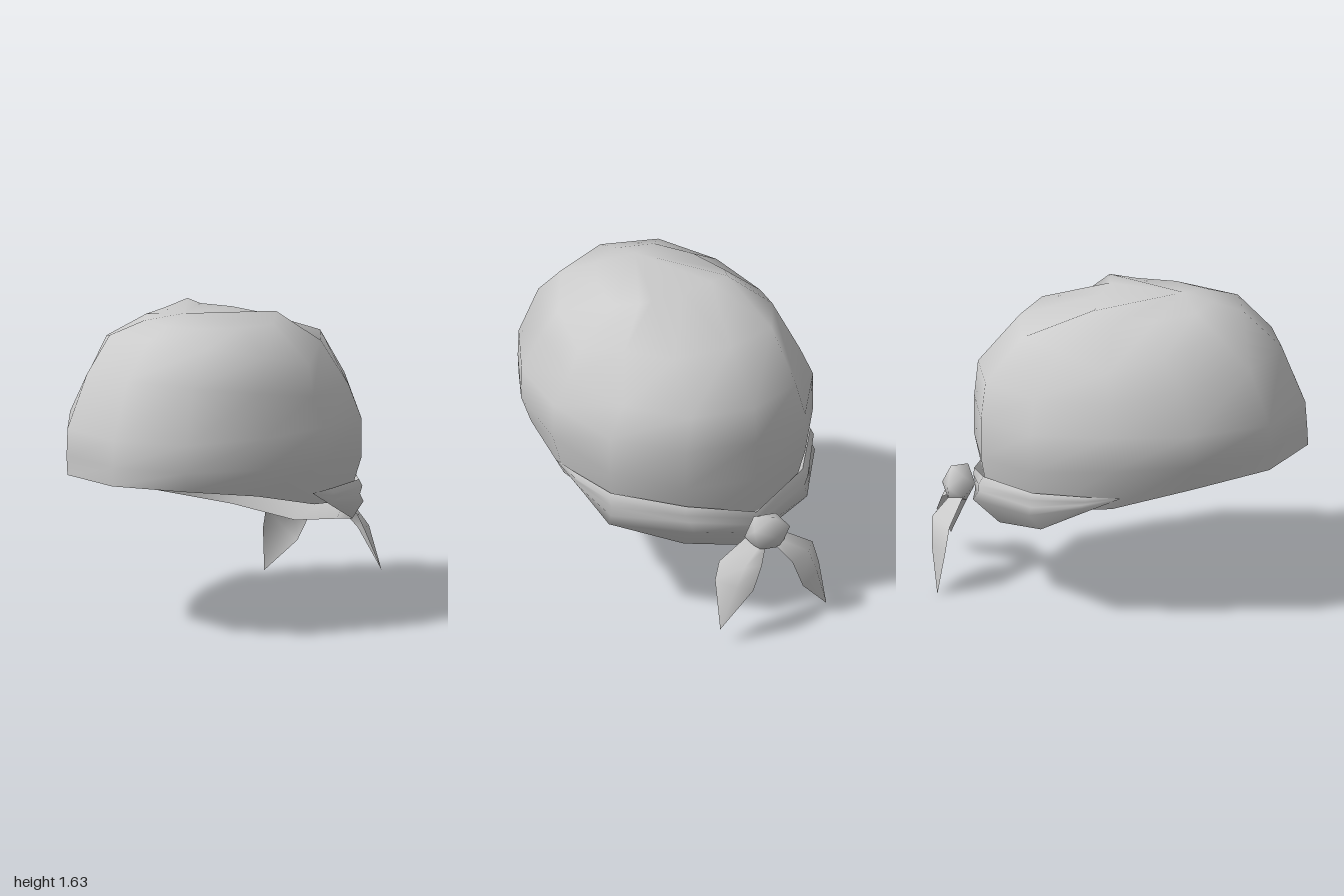
import * as THREE from 'three';
import { mergeVertices } from 'three/addons/utils/BufferGeometryUtils.js';

const cloth = new THREE.MeshStandardMaterial({ color: 0xcccccc, side: THREE.DoubleSide });

// Skin a grid of points: rows run bottom to top, columns left to right.
function loft(name, rows) {
  const n = rows[0].length, index = [];
  for (let i = 0; i < rows.length - 1; i++) {
    for (let j = 0; j < n - 1; j++) {
      const a = i * n + j, b = a + 1, c = b + n, d = a + n;
      index.push(a, b, c, a, c, d);
    }
  }
  let geo = new THREE.BufferGeometry();
  geo.setAttribute('position', new THREE.Float32BufferAttribute(rows.flat(2), 3));
  geo.setIndex(index);
  geo = mergeVertices(geo, 1e-4);
  geo.computeVertexNormals();
  const mesh = new THREE.Mesh(geo, cloth);
  mesh.name = name;
  return mesh;
}

// Egg-shaped plan of the head, as fractions of half width and half length
const half = [[0, 1], [0.535, 0.863], [0.87, 0.46], [1, 0], [0.91, -0.51], [0.535, -0.88], [0, -1]];

const mirror = (points) => [...points, ...points.slice(0, -1).reverse().map(([x, y, z]) => [-x, y, z])];

// One level of the cap from its side, front and back points;
// moved replaces single points, numbered from the front, for soft dents and bulges.
function ring({ side: [sx, sy, sz], front: [fz, fy], back: [bz, by], moved = {} }) {
  const points = half.map(([px, pz], i) => {
    const t = Math.abs(pz);
    return moved[i] ?? [
      px * sx,
      THREE.MathUtils.lerp(sy, pz > 0 ? fy : by, t),
      THREE.MathUtils.lerp(sz, pz > 0 ? fz : bz, t),
    ];
  });
  return mirror(points);
}

export function createModel() {
  const model = new THREE.Group();
  model.name = 'bandana';

  // Cap
  const levels = [
    {
      side: [0.64, 0.65, 0.07], front: [1.0, 0.832], back: [-0.72, 0.56],
      moved: { 1: [0.38, 0.822, 0.86], 2: [0.565, 0.755, 0.48], 4: [0.6, 0.6, -0.3], 5: [0.31, 0.54, -0.64] },
    },
    { side: [0.71, 0.88, 0.07], front: [0.995, 0.93], back: [-0.77, 0.78] },
    { side: [0.71, 1.07, 0.07], front: [0.985, 1.07], back: [-0.77, 1.0] },
    { side: [0.62, 1.22, 0.05], front: [0.86, 1.37], back: [-0.75, 1.19] },
    { side: [0.58, 1.38, 0.03], front: [0.66, 1.55], back: [-0.53, 1.46], moved: { 4: [0.47, 1.45, -0.24] } },
    { side: [0.35, 1.57, 0.03], front: [0.5, 1.6], back: [-0.1, 1.6], moved: { 4: [0.28, 1.61, -0.1] } },
  ].map(ring);
  const apex = levels[0].map(() => [0, 1.64, 0.34]);
  model.add(loft('cap', [...levels, apex]));

  // Sloping underside that closes the cap
  const centre = levels[0].map(() => [0, 0.67, 0.07]);
  model.add(loft('underside', [centre, levels[0]]));

  // Folded band, thin at the sides, deep at the back, gathered at the knot
  const tip = [0.665, 0.72, 0.12];
  const [bottom, lowerFold, groove, upperFold, top, inner] = [
    [[0.64, 0.61, -0.1], [0.62, 0.505, -0.31], [0.33, 0.42, -0.58], [0, 0.355, -0.68]],
    [[0.665, 0.65, -0.09], [0.65, 0.59, -0.37], [0.36, 0.55, -0.715], [0, 0.47, -0.765]],
    [[0.66, 0.67, -0.08], [0.635, 0.63, -0.36], [0.365, 0.6, -0.685], [0, 0.51, -0.765]],
    [[0.67, 0.69, -0.07], [0.65, 0.675, -0.36], [0.39, 0.645, -0.68], [0, 0.55, -0.775]],
    [[0.66, 0.715, -0.05], [0.635, 0.71, -0.35], [0.37, 0.685, -0.66], [0, 0.59, -0.77]],
    [[0.62, 0.63, -0.1], [0.59, 0.59, -0.3], [0.31, 0.54, -0.63], [0, 0.555, -0.71]],
  ].map((points) => mirror([tip, ...points]));
  const band = new THREE.Group();
  band.name = 'band';
  band.add(
    loft('bandOuter', [bottom, lowerFold, groove, upperFold, top]),
    loft('bandInner', [top, inner, bottom]),
  );
  model.add(band);

  // Knot, with one corner pointing straight back
  let knotGeo = new THREE.IcosahedronGeometry(1, 0);
  knotGeo.deleteAttribute('normal');
  knotGeo.deleteAttribute('uv');
  knotGeo = mergeVertices(knotGeo, 1e-4);
  knotGeo.rotateX(0.553).scale(0.135, 0.11, 0.088);
  knotGeo.computeVertexNormals();
  const knot = new THREE.Mesh(knotGeo, cloth);
  knot.name = 'knot';
  knot.position.set(-0.012, 0.505, -0.85);
  knot.rotation.z = 0.15;
  model.add(knot);

  // Loose tails: each row runs edge, ridge, edge, starting from the pointed end
  model.add(loft('leftTail', [
    Array(3).fill([0.36, 0.085, -0.955]),
    [[0.32, 0.32, -0.85], [0.27, 0.31, -0.97], [0.18, 0.28, -1.0]],
    [[0.28, 0.41, -0.83], [0.2, 0.4, -0.95], [0.1, 0.38, -0.96]],
    [[0.07, 0.49, -0.8], [0.05, 0.46, -0.88], [0.03, 0.43, -0.89]],
  ]));
  model.add(loft('rightTail', [
    Array(3).fill([-0.35, 0.005, -0.905]),
    [[-0.17, 0.18, -0.95], [-0.26, 0.24, -0.95], [-0.33, 0.24, -0.865]],
    [[-0.09, 0.35, -0.97], [-0.2, 0.38, -0.96], [-0.3, 0.36, -0.85]],
    [[-0.04, 0.43, -0.89], [-0.06, 0.46, -0.88], [-0.08, 0.49, -0.8]],
  ]));

  return model;
}
